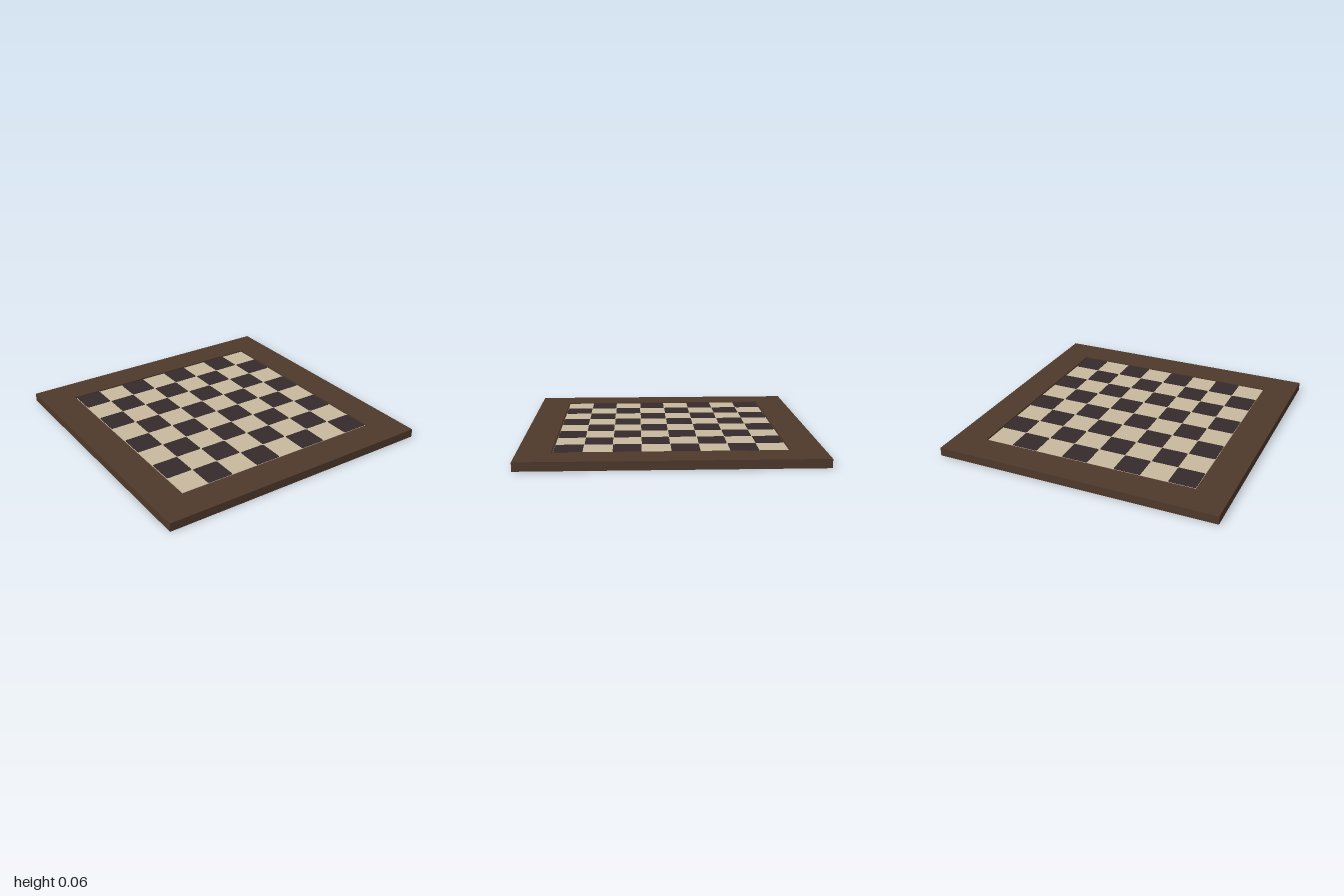
import * as THREE from 'three';

const HEIGHT = 0.06, FLOOR = 0.05, PANEL = 1.532, RECESS = 1.55, CELL = PANEL / 8;

// Square outline, optionally with rounded corners
function square(Type, size, r = 0) {
  const h = size / 2, s = new Type();
  s.moveTo(-h + r, -h);
  for (const [cx, cy] of [[h, -h], [h, h], [-h, h], [-h, -h]]) {
    const sx = Math.sign(cx), sy = Math.sign(cy), alongX = sx * sy < 0;
    s.lineTo(cx - (alongX ? sx * r : 0), cy - (alongX ? 0 : sy * r));
    if (r) s.quadraticCurveTo(cx, cy, cx - (alongX ? 0 : sx * r), cy - (alongX ? sy * r : 0));
  }
  return s;
}

// Flat slab extruded upwards from y
function slab(shape, depth, y, material, name) {
  const geo = new THREE.ExtrudeGeometry(shape, { depth, bevelEnabled: false, curveSegments: 3 });
  geo.rotateX(-Math.PI / 2);
  const mesh = new THREE.Mesh(geo, material);
  mesh.position.y = y;
  mesh.name = name;
  return mesh;
}

export function createModel() {
  const wood = new THREE.MeshStandardMaterial({ name: 'brown wood', color: 0x4f392c });
  const light = new THREE.MeshStandardMaterial({ name: 'cream', color: 0xc8b99d });
  const dark = new THREE.MeshStandardMaterial({ name: 'dark ebony', color: 0x352b2c });

  const group = new THREE.Group();
  group.name = 'checkeredBoard';

  // Solid wooden border around a shallow recess
  const border = square(THREE.Shape, 2);
  border.holes.push(square(THREE.Path, RECESS));
  group.add(slab(border, HEIGHT, 0, wood, 'border'));
  group.add(slab(square(THREE.Shape, RECESS), FLOOR, 0, wood, 'recessFloor'));

  // Cream playing surface
  group.add(slab(square(THREE.Shape, PANEL), 0.006, FLOOR, light, 'lightSquares'));

  // Dark squares: back left corner and front right corner are dark
  const squares = new THREE.Group();
  squares.name = 'darkSquares';
  const tile = square(THREE.Shape, CELL - 0.003, 0.012);
  for (let row = 0; row < 8; row++) {
    for (let col = row % 2; col < 8; col += 2) {
      const mesh = slab(tile, 0.002, FLOOR + 0.006, dark, 'darkSquare');
      mesh.position.x = (col - 3.5) * CELL;
      mesh.position.z = (row - 3.5) * CELL;
      squares.add(mesh);
    }
  }
  group.add(squares);
  return group;
}
